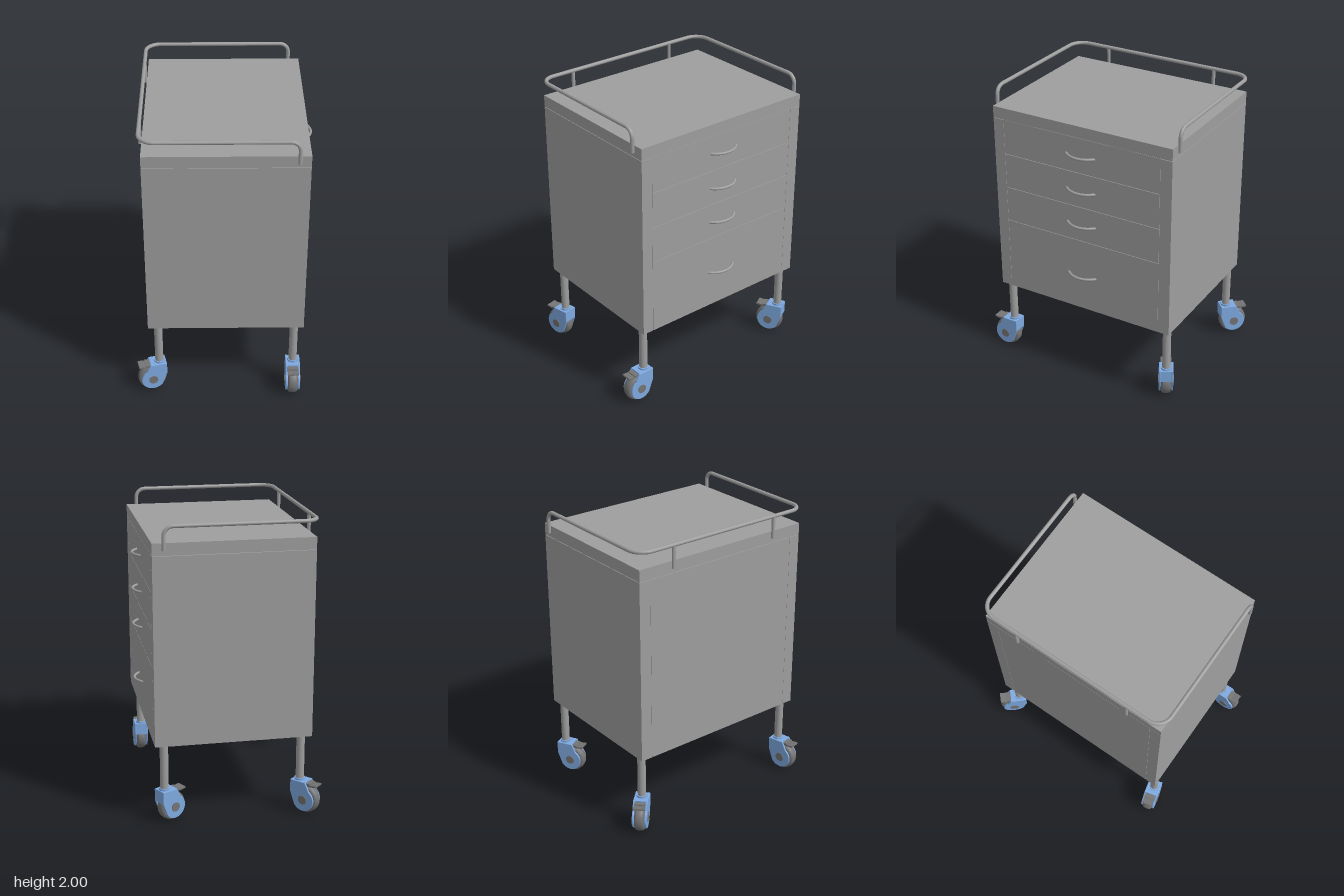
import * as THREE from 'three';

const grey = new THREE.MeshStandardMaterial({ color: 0x9e9e9e });
const darkGrey = new THREE.MeshStandardMaterial({ color: 0x747474 });
const blue = new THREE.MeshStandardMaterial({ color: 0x7ea9e0 });

function add(parent, name, geometry, material = grey) {
  const mesh = new THREE.Mesh(geometry, material);
  mesh.name = name;
  parent.add(mesh);
  return mesh;
}

// Box given by its minimum and maximum on each axis
function box(parent, name, [x0, x1], [y0, y1], [z0, z1], material = grey) {
  const mesh = add(parent, name, new THREE.BoxGeometry(x1 - x0, y1 - y0, z1 - z0), material);
  mesh.position.set((x0 + x1) / 2, (y0 + y1) / 2, (z0 + z1) / 2);
  return mesh;
}

function post(parent, name, r, x, z, y0, y1, material = grey) {
  const mesh = add(parent, name, new THREE.CylinderGeometry(r, r, y1 - y0, 24), material);
  mesh.position.set(x, (y0 + y1) / 2, z);
}

// Straight runs joined by rounded corners; radii belong to the inner points
function roundedPath(points, radii) {
  const path = new THREE.CurvePath();
  let from = points[0];
  for (let i = 1; i < points.length - 1; i++) {
    const p = points[i], r = radii[i - 1];
    const a = p.clone().add(points[i - 1].clone().sub(p).setLength(r));
    const b = p.clone().add(points[i + 1].clone().sub(p).setLength(r));
    path.add(new THREE.LineCurve3(from, a));
    // cubic handles approximate a quarter circle
    path.add(new THREE.CubicBezierCurve3(a, a.clone().lerp(p, 0.55), b.clone().lerp(p, 0.55), b));
    from = b;
  }
  path.add(new THREE.LineCurve3(from, points[points.length - 1]));
  return path;
}

// Swivel caster; its wheel trails towards local +x
function createCaster() {
  const caster = new THREE.Group();
  caster.name = 'caster';
  const cx = 0.053, cy = 0.098;

  // Wheel with a rounded tread
  const profile = [[0, -0.033], [0.078, -0.033], [0.09, -0.029], [0.096, -0.018], [0.098, 0],
    [0.096, 0.018], [0.09, 0.029], [0.078, 0.033], [0, 0.033]].map(([r, y]) => new THREE.Vector2(r, y));
  const wheel = add(caster, 'wheel', new THREE.LatheGeometry(profile, 40), darkGrey);
  wheel.rotation.x = Math.PI / 2;
  wheel.position.set(cx, cy, 0);

  // Side cheeks of the fork
  const cheek = new THREE.Shape();
  cheek.moveTo(-0.045, 0.225);
  cheek.lineTo(0.068, 0.225);
  cheek.lineTo(0.086, 0.19);
  cheek.absarc(cx, cy, 0.08, 1.0, -2.5, true);
  cheek.lineTo(-0.045, 0.14);
  const cheekGeometry = new THREE.ExtrudeGeometry(cheek, {
    depth: 0.008, bevelThickness: 0.003, bevelSize: 0.003, bevelOffset: -0.003, bevelSegments: 2, curveSegments: 32,
  });
  for (const side of [-1, 1]) {
    add(caster, 'forkCheek', cheekGeometry, blue).position.z = side * 0.042 - 0.004;
    const hub = add(caster, 'hubCap', new THREE.CylinderGeometry(0.032, 0.032, 0.008, 10), darkGrey);
    hub.rotation.x = Math.PI / 2;
    hub.position.set(cx, cy, side * 0.05);
  }

  // Fork crown, rear web and swivel neck
  box(caster, 'forkCrown', [-0.044, 0.067], [0.198, 0.224], [-0.042, 0.042], blue);
  box(caster, 'forkWeb', [-0.044, -0.036], [0.14, 0.2], [-0.042, 0.042], blue);
  post(caster, 'swivelNeck', 0.036, 0, 0, 0.215, 0.236, blue);

  // Brake pedal
  box(caster, 'pedalStep', [0.065, 0.1], [0.198, 0.216], [-0.036, 0.036], darkGrey);
  box(caster, 'pedalTread', [0.095, 0.147], [0.2, 0.211], [-0.037, 0.037], darkGrey).rotation.z = 0.1;
  return caster;
}

export function createModel() {
  const model = new THREE.Group();
  model.name = 'drawerTrolley';
  const X0 = -0.505, X1 = 0.54, Z0 = -0.668, Z1 = 0.651;
  const bottom = 0.54, slab = 1.8, top = 1.88, gap = 0.0015;
  const innerZ0 = -0.586, innerZ1 = 0.573;
  const panelHeight = [bottom, slab - 2 * gap];
  const innerWidth = [innerZ0 + gap, innerZ1 - gap];

  // Cabinet shell, with narrow joints between its panels
  const cabinet = new THREE.Group();
  cabinet.name = 'cabinet';
  model.add(cabinet);
  box(cabinet, 'topSlab', [X0, X1], [slab, top], [Z0, Z1]);
  box(cabinet, 'sidePanel', [X0, X1], panelHeight, [innerZ1, Z1]);
  box(cabinet, 'sidePanel', [X0, X1], panelHeight, [Z0, innerZ0]);
  box(cabinet, 'backPanel', [X0, X0 + 0.03], panelHeight, innerWidth);
  box(cabinet, 'core', [X0 + 0.03, X1 - 0.03], [bottom + 0.004, slab], [innerZ0, innerZ1]);

  // Drawer fronts, each with a bowed handle
  const levels = [1.8, 1.555, 1.31, 1.06, bottom - gap];
  const handleHeights = [1.678, 1.43, 1.183, 0.797];
  handleHeights.forEach((y, i) => {
    const drawer = new THREE.Group();
    drawer.name = 'drawer';
    model.add(drawer);
    box(drawer, 'drawerFront', [X1 - 0.03, X1], [levels[i + 1] + gap, levels[i] - gap], innerWidth);
    const bow = [];
    for (let k = 0; k <= 12; k++) {
      const a = (k / 12 - 0.5) * 1.9;
      bow.push(new THREE.Vector3(0.586 + 0.138 * (Math.cos(a) - 1), y, -0.009 + 0.138 * Math.sin(a)));
    }
    add(drawer, 'drawerHandle', new THREE.TubeGeometry(new THREE.CatmullRomCurve3(bow), 32, 0.009, 10));
  });

  // Guard rail around three sides of the top
  const rail = new THREE.Group();
  rail.name = 'guardRail';
  model.add(rail);
  const rx0 = -0.518, rx1 = 0.468, ry = 1.987, rz0 = -0.682, rz1 = 0.664, foot = 1.835, r = 0.013;
  const corners = [[rx1, foot, rz1], [rx1, ry, rz1], [rx0, ry, rz1], [rx0, ry, rz0], [rx1, ry, rz0], [rx1, foot, rz0]]
    .map((p) => new THREE.Vector3(...p));
  add(rail, 'railTube', new THREE.TubeGeometry(roundedPath(corners, [0.06, 0.1, 0.1, 0.06]), 260, r, 12));
  for (const z of [rz0, rz1]) {
    const cap = add(rail, 'railEndCap', new THREE.CircleGeometry(r, 12));
    cap.rotation.x = Math.PI / 2;
    cap.position.set(rx1, foot, z);
  }
  for (const z of [-0.415, 0.405]) post(rail, 'railPost', 0.012, rx0, z, foot, ry);

  // Legs and casters: x, z, then the direction the wheel trails
  const legs = [
    [-0.439, 0.61, -1, 0.23],
    [0.477, 0.61, 0, 1],
    [-0.439, -0.624, -0.7, -0.74],
    [0.477, -0.624, -0.87, 0.48],
  ];
  for (const [x, z, dx, dz] of legs) {
    post(model, 'leg', 0.028, x, z, 0.23, bottom + 0.02);
    const caster = createCaster();
    caster.position.set(x, 0, z);
    caster.rotation.y = Math.atan2(-dz, dx);
    model.add(caster);
  }
  return model;
}
